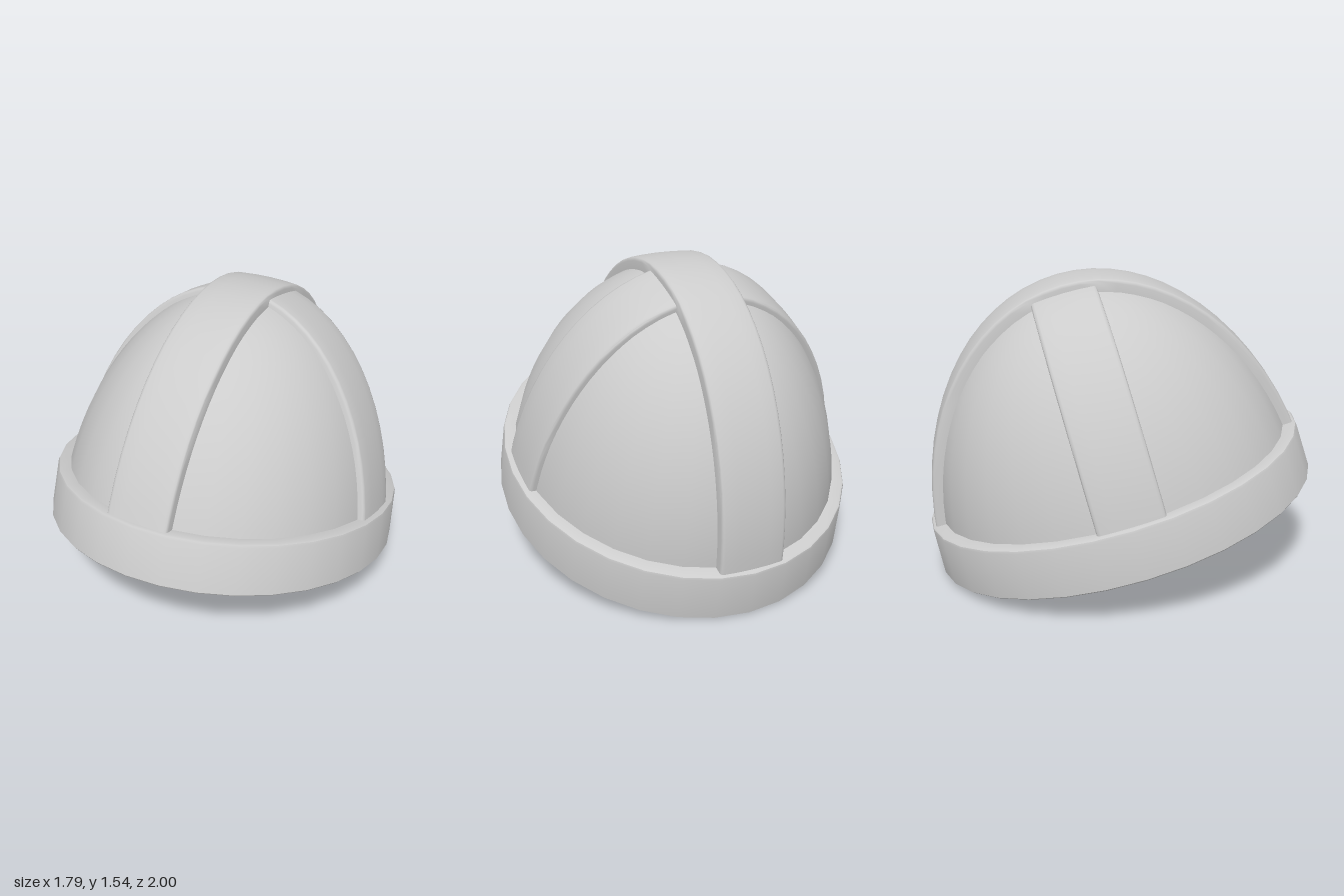
import * as THREE from 'three';
import { toCreasedNormals } from 'three/addons/utils/BufferGeometryUtils.js';

const SEGMENTS = 32;
const OVAL = 1.13; // length to width ratio of the head opening

// Arched strap: a rounded cross-section swept over half an ellipse (front to back).
function strapGeometry(reach, height, halfWidth, depth) {
  const half = [[0, 0], [0.08, -0.002], [halfWidth - 0.018, -0.007], [halfWidth - 0.007, -0.01],
    [halfWidth - 0.002, -0.016], [halfWidth, -0.025], [halfWidth, -depth]];
  const profile = [...half.slice(1).reverse().map(([s, d]) => [-s, d]), ...half];
  const n = profile.length, steps = 30, limit = 1.41;
  const positions = [], index = [];
  for (let i = 0; i <= steps; i++) {
    const t = -limit + (2 * limit * i) / steps;
    for (const [s, d] of profile) {
      positions.push(s, (height + d) * Math.cos(t), (reach + d) * Math.sin(t));
    }
  }
  for (let i = 0; i < steps; i++) {
    for (let j = 0; j < n - 1; j++) {
      const a = i * n + j, b = a + n;
      index.push(a, b, a + 1, b, b + 1, a + 1);
    }
  }
  const geometry = new THREE.BufferGeometry();
  geometry.setAttribute('position', new THREE.Float32BufferAttribute(positions, 3));
  geometry.setIndex(index);
  return toCreasedNormals(geometry, 0.7);
}

// Oval half-ellipsoid shell, starting at a given angle above its base.
function domeGeometry(radius, height, start) {
  const points = [];
  for (let i = 0; i <= 20; i++) {
    const t = start + (i / 20) * (Math.PI / 2 - start);
    points.push(new THREE.Vector2(i === 20 ? 0 : radius * Math.cos(t), height * Math.sin(t)));
  }
  return new THREE.LatheGeometry(points, SEGMENTS).scale(1, 1, OVAL);
}

// Oval brow band: bottom lip, tapered wall and rounded top ledge.
function bandGeometry() {
  const points = [[0.817, 0], [0.89, 0], [0.895, 0.006], [0.883, 0.244], [0.879, 0.255],
    [0.87, 0.26], [0.818, 0.26]].map(([r, y]) => new THREE.Vector2(r, y));
  return toCreasedNormals(new THREE.LatheGeometry(points, SEGMENTS).scale(1, 1, OVAL), 0.7);
}

export function createModel() {
  const grey = new THREE.MeshStandardMaterial({ color: 0xcccccc, side: THREE.DoubleSide });
  grey.name = 'light grey';

  const helmet = new THREE.Group();
  helmet.name = 'helmet';
  const add = (name, geometry) => {
    const mesh = new THREE.Mesh(geometry, grey);
    mesh.name = name;
    helmet.add(mesh);
  };

  add('outerDome', domeGeometry(0.84, 1.253, 0.16));
  add('innerLining', domeGeometry(0.817, 1.225, 0));
  add('browBand', bandGeometry());
  add('lengthwiseStrap', strapGeometry(0.991, 1.298, 0.165, 0.075));
  add('crosswiseStrap', strapGeometry(0.868, 1.274, 0.168, 0.055).rotateY(Math.PI / 2));

  // Tilt back so that the front rim is raised.
  helmet.rotation.x = -Math.PI / 12;
  helmet.position.set(0, 0.265, 0.025);

  const model = new THREE.Group();
  model.name = 'tiltedHelmet';
  model.add(helmet);
  return model;
}
